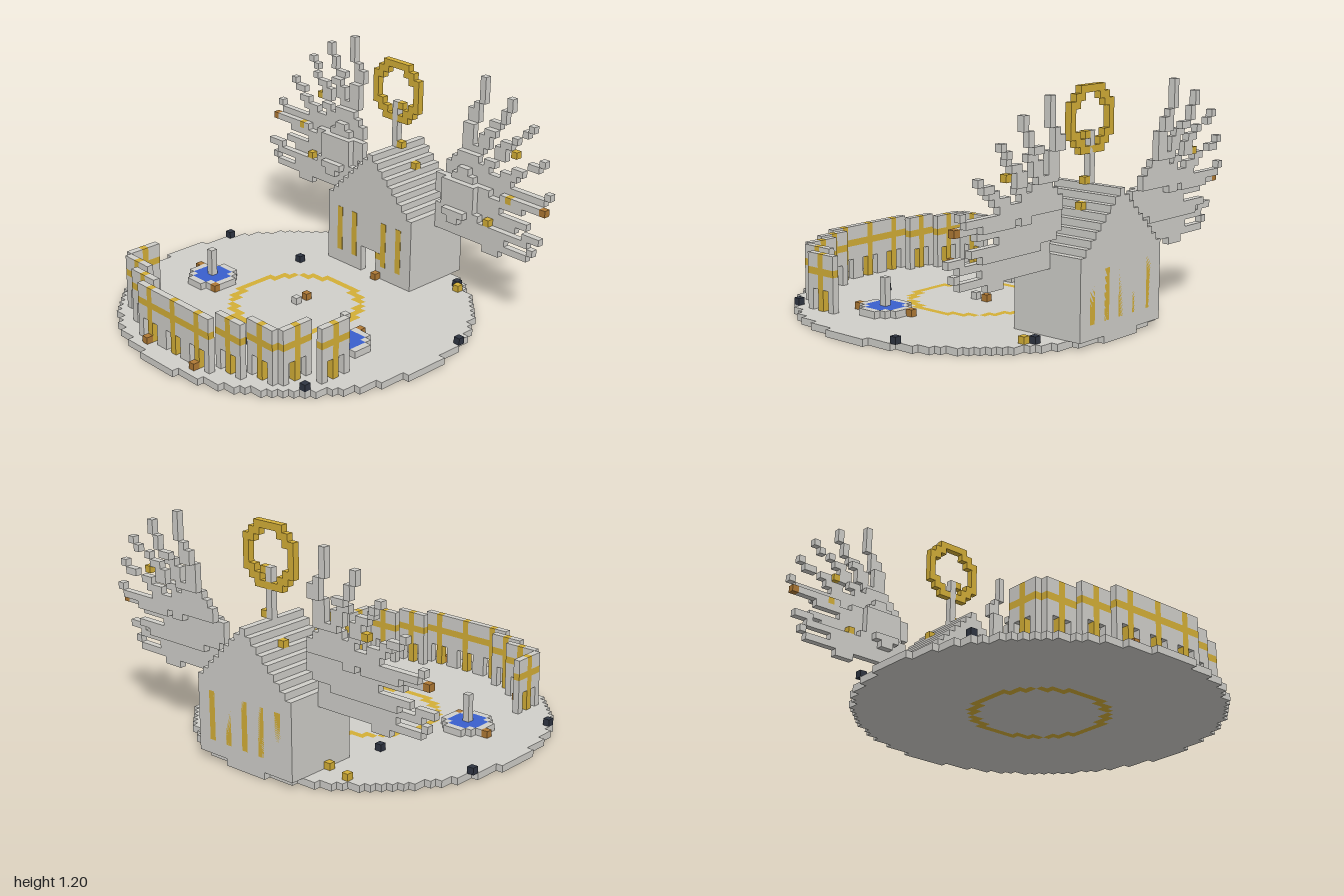
import * as THREE from 'three';
import { mergeGeometries } from 'three/addons/utils/BufferGeometryUtils.js';

const V = 2 / 55; // edge of one block

const material = (name, color) => {
  const m = new THREE.MeshStandardMaterial({ color });
  m.name = name;
  return m;
};

// Box covering whole blocks x0..x1, y0..y1, z0..z1 (inclusive)
function box(x0, x1, y0, y1, z0, z1) {
  const g = new THREE.BoxGeometry((x1 - x0 + 1) * V, (y1 - y0 + 1) * V, (z1 - z0 + 1) * V);
  return g.translate((x0 + x1) / 2 * V, (y0 + y1 + 1) / 2 * V, (z0 + z1) / 2 * V);
}
const cube = (x, y, z) => box(x, x, y, y, z, z);

// Square blocks of a flat pattern, joined into runs along the first axis
function runs(radius, inside, make) {
  const out = [];
  for (let b = -radius; b <= radius; b++) {
    let start = null;
    for (let a = -radius; a <= radius + 1; a++) {
      const filled = a <= radius && inside(a, b);
      if (filled && start === null) start = a;
      if (!filled && start !== null) {
        out.push(make(start, a - 1, b));
        start = null;
      }
    }
  }
  return out;
}

export function createModel() {
  const stone = material('stone', 0xd0cfca);
  const gold = material('gold', 0xd4af37);
  const copper = material('copper', 0xb07a35);
  const water = material('water', 0x3a5fcd);
  const dark = material('dark', 0x2f3542);

  const model = new THREE.Group();
  model.name = 'wingedChapel';
  const add = (name, mat, boxes, parent = model) => {
    const mesh = new THREE.Mesh(mergeGeometries(boxes), mat);
    mesh.name = name;
    parent.add(mesh);
  };
  const group = (name) => {
    const g = new THREE.Group();
    g.name = name;
    model.add(g);
    return g;
  };

  // Round floor with an inlaid ring
  const inRing = (x, z) => { const d = x * x + z * z; return d >= 72.25 && d <= 90.25; };
  const floorRow = (a, b, z) => box(a, b, 0, 0, z, z);
  add('floor', stone, runs(25, (x, z) => x * x + z * z <= 636 && !inRing(x, z), floorRow));
  add('floorRing', gold, runs(10, inRing, floorRow));
  add('centreStone', stone, [cube(0, 1, 0)]);

  // Chapel walls with a doorway, stepped roof
  const chapel = group('chapel');
  add('walls', stone, [
    box(-8, -8, 1, 11, -25, -15), box(8, 8, 1, 11, -25, -15),
    box(-7, 7, 1, 11, -25, -25),
    box(-7, -2, 1, 11, -15, -15), box(2, 7, 1, 11, -15, -15), box(-1, 1, 5, 11, -15, -15),
  ], chapel);
  const roof = [];
  for (let y = 12; y <= 19; y++) roof.push(box(y - 19, 19 - y, y, y, -25, -15));
  add('roof', stone, roof, chapel);

  // Thin gold strips on the front and back walls
  const strip = (x, y0, y1, z) => box(x, x, y0, y1, z, z).translate(0, 0, -z * V).scale(1, 1, 0.1).translate(0, 0, z * V);
  const strips = [];
  for (const x of [-6, -3, 3, 6]) strips.push(strip(x, 3, 9, -14.5));
  for (const x of [-6, -3, 0, 3, 6]) strips.push(strip(x, 3, 9, -25.45));
  strips.push(strip(2, 4, 4, -14.5));
  add('wallStrips', gold, strips, chapel);

  // Spire, halo and roof studs
  add('spire', stone, [box(0, 0, 20, 26, -20, -20)], chapel);
  add('halo', gold, runs(4, (x, y) => { const d = x * x + y * y; return d > 12.2 && d < 20.3; },
    (a, b, y) => box(a, b, y + 28, y + 28, -20, -20)), chapel);
  add('roofStuds', gold, [cube(-3, 17, -21), cube(3, 17, -21), cube(1, 20, -20), cube(1, 26, -20)], chapel);

  // Wings: each feather is a stepped stroke [x0, y0, x1, y1], leaning back as it rises
  const feathers = [
    [11, 17, 13, 32], [12, 18, 18, 30], [14, 18, 22, 27], [14, 17, 25, 23],
    [13, 17, 27, 18.6], [13, 16, 27, 17], [12, 14, 27, 13.4], [11, 13, 26, 11.4], [9, 11, 25, 10],
  ];
  const lean = (y) => Math.max(-24, Math.round(-20.8 - 0.25 * (y - 15)));
  for (const side of [-1, 1]) {
    const wing = group(side > 0 ? 'leftWing' : 'rightWing');
    const cells = new Set();
    const put = (x, y, z) => cells.add([side * x, y, z].join());
    for (const [x0, y0, x1, y1] of feathers) {
      const steep = y1 - y0 > x1 - x0;
      const n = Math.ceil(Math.max(x1 - x0, Math.abs(y1 - y0)));
      for (let i = 0; i <= n; i++) {
        const t = i / n;
        const x = Math.round(x0 + (x1 - x0) * t), y = Math.round(y0 + (y1 - y0) * t);
        const z = lean(y);
        put(x, y, z);
        if (t < 0.72) put(steep ? x - 1 : x, steep ? y : y - 1, z);
      }
    }
    // Shoulder: a broad layer with a smaller one in front
    for (let x = 8; x <= 18; x++) {
      for (let y = 9; y <= 22; y++) {
        if (((x - 12.5) / 4.6) ** 2 + ((y - 16) / 5.2) ** 2 <= 1) put(x, y, lean(y));
        if (((x - 12.5) / 3) ** 2 + ((y - 15.5) / 4) ** 2 <= 1) put(x, y, lean(y) + 1);
      }
    }
    for (let x = 9; x <= 12; x++) for (let y = 10; y <= 13; y++) put(x, y, lean(y));

    const tips = [[18, 13], [21, 17], side > 0 ? [20, 23] : [19, 22]];
    for (const [x, y] of tips) cells.delete([side * x, y, lean(y)].join());
    cells.delete([side * 27, 17, lean(17)].join());
    add('feathers', stone, [...cells].map((c) => cube(...c.split(',').map(Number))), wing);
    add('featherStuds', gold, tips.map(([x, y]) => cube(side * x, y, lean(y))), wing);
    add('featherTip', copper, [cube(side * 27, 17, lean(17))], wing);
  }

  // Fence of panels [x, z, runs along z]
  const fence = group('fence');
  const panels = [[0, 22], [-5, 22], [5, 22], [-9, 20], [9, 20], [-13, 18], [13, 18],
    [-16, 15, true], [16, 15, true], [19, 11, true]];
  const boards = [], bars = [];
  for (const [px, pz, turned] of panels) {
    const part = (a, b, y0, y1) => turned
      ? box(px, px, y0, y1, pz + a, pz + b) : box(px + a, px + b, y0, y1, pz, pz);
    for (const s of [-1, 1]) {
      const [a, b] = s < 0 ? [-2, -1] : [1, 2];
      boards.push(part(a, b, 4, 5), part(a, b, 7, 8), part(2 * s, 2 * s, 1, 3));
      bars.push(part(a, b, 6, 6));
    }
    bars.push(part(0, 0, 1, 8));
  }
  add('fenceBoards', stone, boards, fence);
  add('fenceBars', gold, bars, fence);

  // Two fountains
  for (const fx of [-14, 14]) {
    const fountain = group('fountain');
    const row = (a, b, z) => box(fx + a, fx + b, 1, 1, z + 4, z + 4);
    const d2 = (x, z) => x * x + z * z;
    add('basinRim', stone, runs(3, (x, z) => d2(x, z) > 5 && d2(x, z) <= 10, row), fountain);
    add('basinWater', water, runs(2, (x, z) => d2(x, z) <= 5 && d2(x, z) > 0, row), fountain);
    add('fountainPost', stone, [box(fx, fx, 1, 5, 4, 4)], fountain);
  }

  // Small blocks scattered on the floor
  const scatter = (list) => list.map(([x, z]) => cube(x, 1, z));
  add('copperBlocks', copper, scatter([[2, -14], [0, -2], [13, 0], [15, 8], [-18, 3], [-11, 6],
    [-13, 17], [-5, 23], [5, 23]]));
  add('darkBlocks', dark, scatter([[-10, -10], [-24, -8], [24, -8], [-22, 12], [5, 13], [19, 16], [12, -21]]));
  add('goldBlocks', gold, scatter([[13, -20], [-13, -20], [-9, -19]]));

  return model;
}
